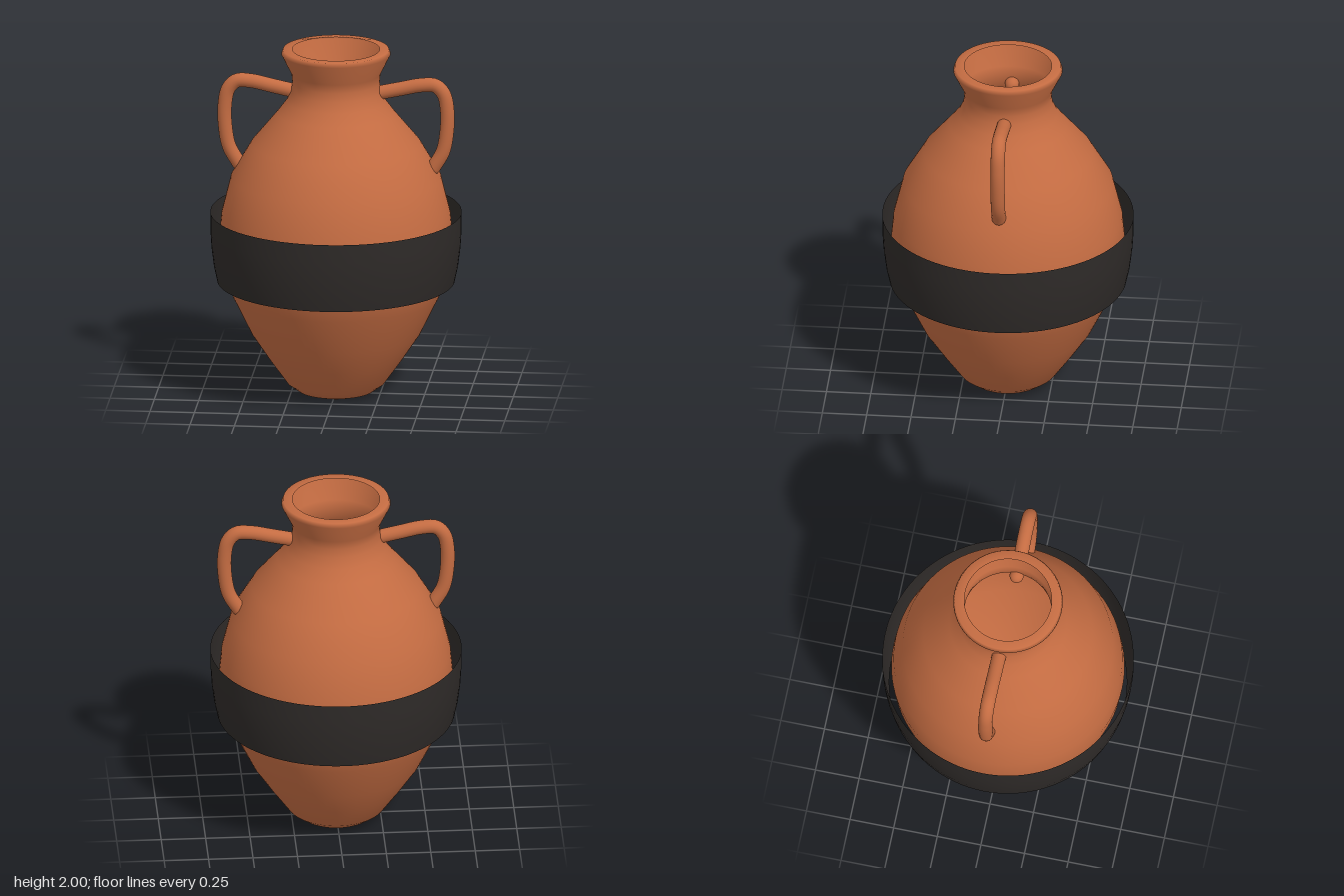
import * as THREE from 'three';

const clay = new THREE.MeshStandardMaterial({ color: 0xc46c42, side: THREE.DoubleSide });
const dark = new THREE.MeshStandardMaterial({ color: 0x2e2a28, side: THREE.DoubleSide });

function lathe(name, profile, material) {
  const points = profile.map(([r, y]) => new THREE.Vector2(r, y));
  const mesh = new THREE.Mesh(new THREE.LatheGeometry(points, 96), material);
  mesh.name = name;
  return mesh;
}

// Round-ended tube; side is +1 for left, -1 for right
function handle(name, side) {
  const path = [
    [0.24, 1.752], [0.36, 1.778], [0.48, 1.803], [0.56, 1.802], [0.607, 1.755],
    [0.627, 1.66], [0.625, 1.54], [0.603, 1.42], [0.55, 1.325],
  ].map(([x, y]) => new THREE.Vector3(side * x, y, 0));
  const group = new THREE.Group();
  group.name = name;
  const curve = new THREE.CatmullRomCurve3(path);
  const tube = new THREE.Mesh(new THREE.TubeGeometry(curve, 48, 0.04, 20), clay);
  tube.name = name + 'Tube';
  group.add(tube);
  for (const end of [path[0], path[path.length - 1]]) {
    const cap = new THREE.Mesh(new THREE.SphereGeometry(0.04, 20, 12), clay);
    cap.name = name + 'End';
    cap.position.copy(end);
    group.add(cap);
  }
  return group;
}

export function createModel() {
  const model = new THREE.Group();
  model.name = 'amphora';

  // Thin-walled body, from the foot up to the inward lip
  model.add(lathe('body', [
    [0, 0], [0.16, 0.003], [0.215, 0.02], [0.275, 0.065], [0.375, 0.205],
    [0.475, 0.355], [0.58, 0.57], [0.615, 0.67], [0.645, 0.8], [0.655, 0.92],
    [0.642, 1.05], [0.59, 1.26], [0.475, 1.455], [0.33, 1.63], [0.278, 1.7],
    [0.252, 1.76], [0.245, 1.81], [0.25, 1.86], [0.307, 1.975], [0.297, 2],
    [0.245, 2],
  ], clay));

  // Loose open band around the belly
  model.add(lathe('band', [
    [0.667, 0.655], [0.685, 0.74], [0.699, 0.85], [0.705, 0.95], [0.705, 1.055],
  ], dark));

  model.add(handle('leftHandle', 1), handle('rightHandle', -1));
  return model;
}
